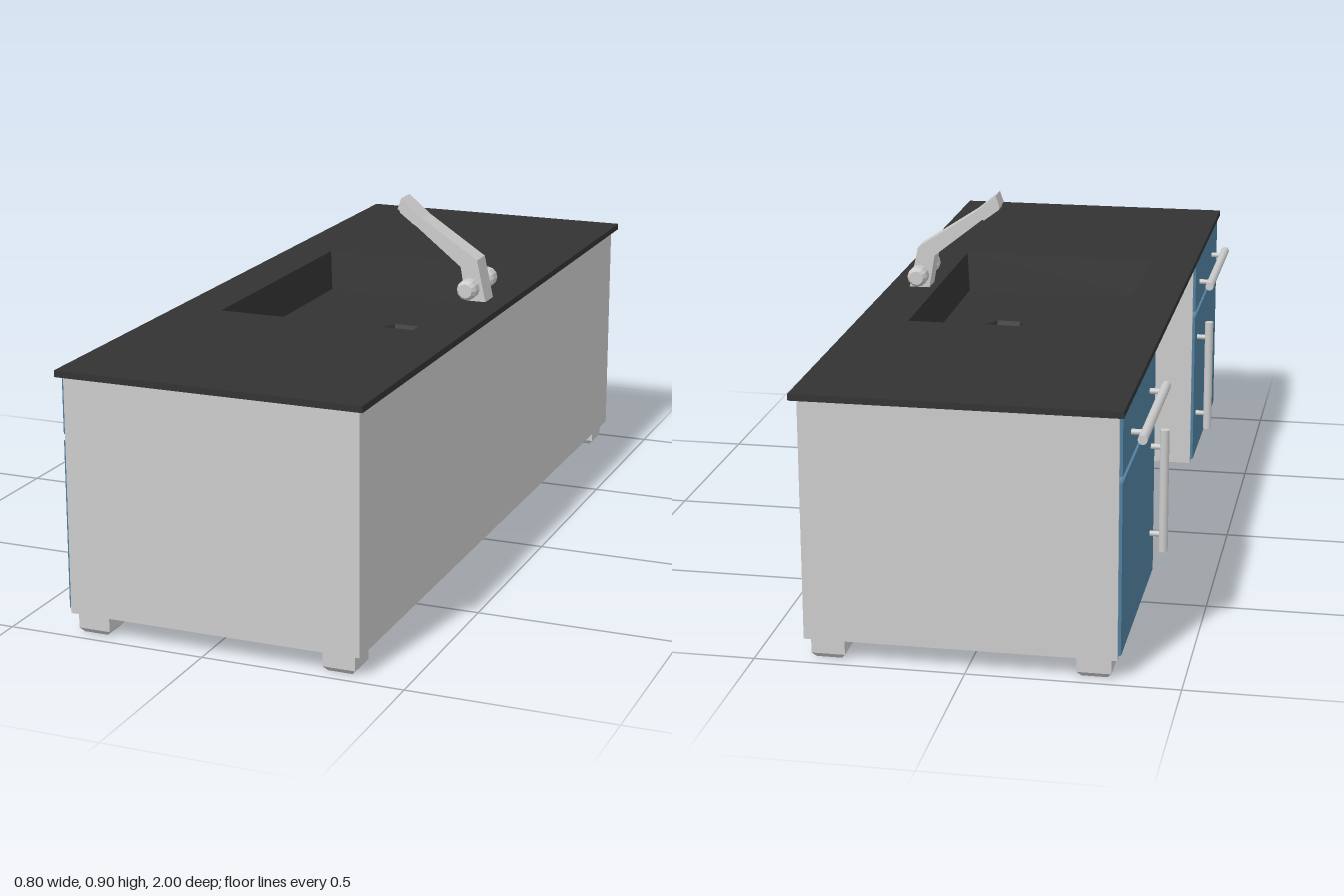
import * as THREE from 'three';

const grey = new THREE.MeshStandardMaterial({ color: 0xcccccc, flatShading: true });
const smooth = new THREE.MeshStandardMaterial({ color: 0xcccccc });
const dark = new THREE.MeshStandardMaterial({ color: 0x333333, flatShading: true, side: THREE.DoubleSide });
const blue = new THREE.MeshStandardMaterial({ color: 0x5080a0, flatShading: true });

function add(parent, name, geometry, material) {
  const mesh = new THREE.Mesh(geometry, material);
  mesh.name = name;
  parent.add(mesh);
  return mesh;
}

// Box given by its limits
function box(parent, name, [x0, x1], [y0, y1], [z0, z1], material) {
  const g = new THREE.BoxGeometry(x1 - x0, y1 - y0, z1 - z0);
  g.translate((x0 + x1) / 2, (y0 + y1) / 2, (z0 + z1) / 2);
  return add(parent, name, g, material);
}

// Rod between two points
function rod(parent, name, a, b, radius) {
  const from = new THREE.Vector3(...a), to = new THREE.Vector3(...b);
  const dir = to.clone().sub(from);
  const mesh = add(parent, name, new THREE.CylinderGeometry(radius, radius, dir.length(), 12), smooth);
  mesh.position.copy(from).add(to).multiplyScalar(0.5);
  mesh.quaternion.setFromUnitVectors(new THREE.Vector3(0, 1, 0), dir.normalize());
}

const polygon = (points) => new THREE.Shape(points.map(([x, y]) => new THREE.Vector2(x, y)));

// Side profile in x and y, extruded evenly about z = 0
function profile(points, width) {
  const g = new THREE.ExtrudeGeometry(polygon(points), { depth: width, bevelEnabled: false });
  return g.translate(0, 0, -width / 2);
}

const rect = (x0, x1, z0, z1) => [[x0, z0], [x1, z0], [x1, z1], [x0, z1]];

// Four-sided frustum with straight sides along x and z
function frustum(wTop, dTop, wBottom, height, open) {
  const g = new THREE.CylinderGeometry(wTop * Math.SQRT1_2, wBottom * Math.SQRT1_2, height, 4, 1, open, Math.PI / 4);
  return g.scale(1, 1, dTop / wTop);
}

function addCabinet(parent, s) {
  const cabinet = new THREE.Group();
  cabinet.name = s > 0 ? 'leftCabinet' : 'rightCabinet';
  parent.add(cabinet);
  const span = (a, b) => (s > 0 ? [a, b] : [-b, -a]);
  box(cabinet, 'cabinetBody', [-0.35, 0.385], [0.05, 0.635], span(0.42, 0.98), grey);
  box(cabinet, 'door', [-0.357, -0.349], [0.06, 0.475], span(0.427, 0.973), blue);
  box(cabinet, 'drawerFront', [-0.357, -0.349], [0.49, 0.625], span(0.427, 0.973), blue);

  // Bar handles on two posts
  const x = -0.39;
  rod(cabinet, 'drawerHandle', [x, 0.553, s * 0.473], [x, 0.553, s * 0.897], 0.0115);
  for (const z of [0.525, 0.84]) rod(cabinet, 'drawerHandlePost', [x, 0.553, s * z], [-0.355, 0.553, s * z], 0.007);
  rod(cabinet, 'doorHandle', [x, 0.134, s * 0.49], [x, 0.446, s * 0.49], 0.0115);
  for (const y of [0.178, 0.402]) rod(cabinet, 'doorHandlePost', [x, y, s * 0.49], [-0.355, y, s * 0.49], 0.007);

  // Feet with a chamfered underside
  for (const fx of [-0.295, 0.33]) {
    box(cabinet, 'foot', [fx - 0.04, fx + 0.04], [0.012, 0.05], span(0.89, 0.97), grey);
    add(cabinet, 'footChamfer', frustum(0.08, 0.08, 0.06, 0.012, false), grey).position.set(fx, 0.006, s * 0.93);
  }
}

function addSink(parent) {
  const sink = new THREE.Group();
  sink.name = 'sink';
  parent.add(sink);
  const w = 0.515, d = 0.715, top = 0.65, floorY = 0.545, cx = 0.015, drainX = 0.098, r = 0.062;

  add(sink, 'basinWalls', frustum(w, d, w - 0.016, top - floorY, true), dark)
    .position.set(cx, (top + floorY) / 2, 0);

  // Basin floor with a six-sided drain
  const floor = polygon(rect(cx - w / 2 + 0.005, cx + w / 2 - 0.005, -d / 2 + 0.005, d / 2 - 0.005));
  const hole = [];
  for (let i = 0; i < 6; i++) {
    const a = (i * Math.PI) / 3;
    hole.push(new THREE.Vector2(drainX + r * Math.cos(a), r * Math.sin(a)));
  }
  floor.holes.push(new THREE.Path(hole));
  add(sink, 'basinFloor', new THREE.ShapeGeometry(floor).rotateX(-Math.PI / 2), dark).position.y = floorY;
  add(sink, 'drainWall', new THREE.CylinderGeometry(r, r * 0.85, 0.03, 6, 1, true, Math.PI / 6), dark)
    .position.set(drainX, floorY - 0.015, 0);
  add(sink, 'drainBottom', new THREE.CircleGeometry(r * 0.85, 6).rotateX(-Math.PI / 2), dark)
    .position.set(drainX, floorY - 0.03, 0);
}

function addFaucet(parent) {
  const faucet = new THREE.Group();
  faucet.name = 'faucet';
  parent.add(faucet);
  add(faucet, 'spout', profile([
    [0.293, 0.65], [0.346, 0.65], [0.322, 0.757], [0.172, 0.855], [0.115, 0.902], [0.105, 0.873], [0.278, 0.736],
  ], 0.06), grey);
  add(faucet, 'spoutOutlet', profile([[0.106, 0.874], [0.109, 0.862], [0.148, 0.833], [0.155, 0.838]], 0.044), grey);

  // Tap knobs, one on each side
  const knob = [[0, 0.02], [0.014, 0.02], [0.014, 0.048], [0.02, 0.048], [0.026, 0.055], [0.026, 0.083], [0.018, 0.095], [0, 0.095]]
    .map(([x, y]) => new THREE.Vector2(x, y));
  for (const s of [-1, 1]) {
    const mesh = add(faucet, 'tapKnob', new THREE.LatheGeometry(knob, 12), grey);
    mesh.rotation.x = (s * Math.PI) / 2;
    mesh.position.set(0.313, 0.69, 0);
  }
}

export function createModel() {
  const model = new THREE.Group();
  model.name = 'sinkCounter';

  // Worktop with an opening for the sink
  const top = polygon(rect(-0.362, 0.4, -1, 1));
  top.holes.push(new THREE.Path(rect(-0.2425, 0.2725, -0.3575, 0.3575).map(([x, z]) => new THREE.Vector2(x, z))));
  const slab = new THREE.ExtrudeGeometry(top, { depth: 0.016, bevelEnabled: false });
  add(model, 'worktop', slab.rotateX(-Math.PI / 2), dark).position.y = 0.634;

  // Middle shell: sloped knee space in front, flat underside and back
  add(model, 'kneeSpaceShell', profile([
    [-0.35, 0.635], [-0.35, 0.622], [-0.27, 0.54], [-0.09, 0.05], [0.385, 0.05], [0.385, 0.635],
    [0.37, 0.635], [0.37, 0.065], [-0.08, 0.065], [-0.257, 0.545], [-0.335, 0.635],
  ], 0.84), grey);

  addSink(model);
  addFaucet(model);
  for (const s of [-1, 1]) addCabinet(model, s);
  return model;
}
